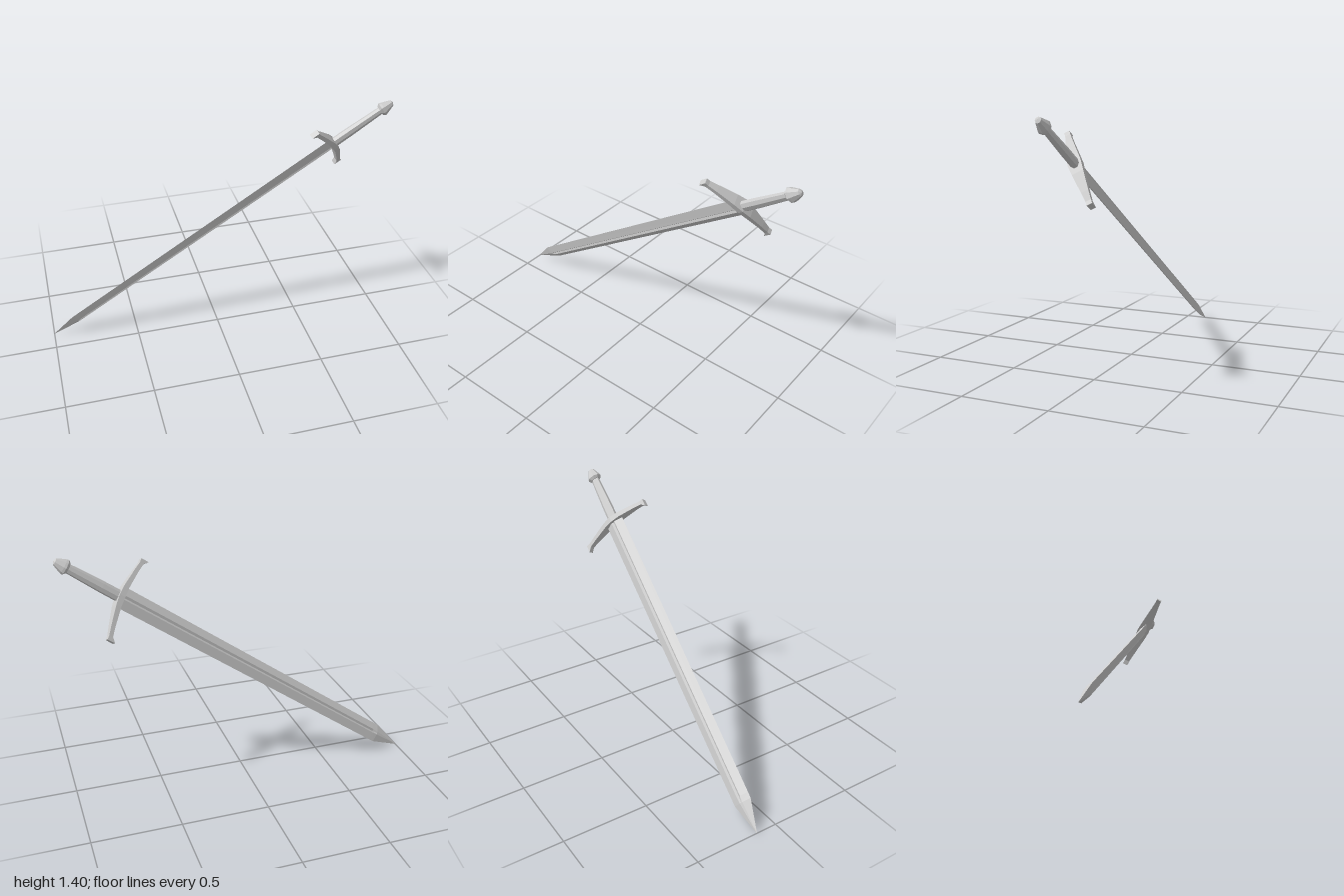
import * as THREE from 'three';

const material = new THREE.MeshStandardMaterial({ color: 0xcccccc, flatShading: true });

// Skins a list of equal-length point loops and caps both ends.
function loft(sections) {
  const n = sections[0].length;
  const index = [];
  for (let s = 0; s < sections.length - 1; s++) {
    for (let i = 0; i < n; i++) {
      const a = s * n + i, b = s * n + (i + 1) % n;
      index.push(a, b, b + n, a, b + n, a + n);
    }
  }
  const last = (sections.length - 1) * n;
  for (let i = 1; i < n - 1; i++) {
    index.push(0, i + 1, i, last, last + i, last + i + 1);
  }
  const geometry = new THREE.BufferGeometry();
  geometry.setAttribute('position', new THREE.Float32BufferAttribute(sections.flat(2), 3));
  geometry.setIndex(index);
  geometry.computeVertexNormals();
  return geometry;
}

function part(name, geometry) {
  const mesh = new THREE.Mesh(geometry, material);
  mesh.name = name;
  return mesh;
}

// Blade section at height y: sharp edges, two ridges and a groove between them.
function bladeSection(y, edge, ridge, thick, groove) {
  return [
    [edge, y, 0], [ridge, y, -thick], [0, y, -groove], [-ridge, y, -thick],
    [-edge, y, 0], [-ridge, y, thick], [0, y, groove], [ridge, y, thick],
  ];
}

// Faceted turned part, flattened front to back.
function turned(name, profile, flatten) {
  const points = profile.map(([r, y]) => new THREE.Vector2(r, y));
  const geometry = new THREE.LatheGeometry(points, 8, Math.PI / 8);
  geometry.scale(1, 1, flatten);
  return part(name, geometry);
}

export function createModel() {
  // The sword is built upright on its point, guard along x.
  const sword = new THREE.Group();
  sword.name = 'sword';

  sword.add(part('blade', loft([
    bladeSection(0, 0.001, 0.0003, 0.0005, 0.0005),
    bladeSection(0.175, 0.055, 0.009, 0.019, 0.019),
    bladeSection(0.21, 0.0555, 0.011, 0.019, 0.011),
    bladeSection(2.04, 0.062, 0.012, 0.021, 0.012),
  ])));

  // Guard arm: [distance from centre, blade side, grip side, half depth]
  const arm = [
    [0, 2.022, 2.056, 0.037],
    [0.06, 2.02, 2.05, 0.032],
    [0.17, 2.004, 2.028, 0.02],
    [0.222, 1.993, 2.016, 0.015],
    [0.246, 1.97, 2.016, 0.015],
  ];
  const guardSection = (x, low, high, depth) =>
    [[x, low, -depth], [x, high, -depth], [x, high, depth], [x, low, depth]];
  const mirrored = arm.slice(1).reverse().map(([x, ...rest]) => [-x, ...rest]);
  sword.add(part('guard', loft([...mirrored, ...arm].map((s) => guardSection(...s)))));

  sword.add(turned('grip', [[0, 2.03], [0.034, 2.03], [0.033, 2.15], [0.026, 2.37], [0, 2.37]], 0.75));
  sword.add(turned('pommel',
    [[0, 2.352], [0.03, 2.352], [0.044, 2.366], [0.041, 2.378], [0.02, 2.428], [0, 2.436]], 0.85));

  // Lean the sword from its point toward the pommel.
  const tip = new THREE.Vector3(-1, 0, -0.125);
  const up = new THREE.Vector3(0.995, 1.388, 0.035).sub(tip).normalize();
  const side = new THREE.Vector3(-0.25, 0.34, 0.255);
  side.addScaledVector(up, -side.dot(up)).normalize();
  const depth = new THREE.Vector3().crossVectors(side, up);
  sword.quaternion.setFromRotationMatrix(new THREE.Matrix4().makeBasis(side, up, depth));
  sword.position.copy(tip);

  const model = new THREE.Group();
  model.add(sword);
  return model;
}
